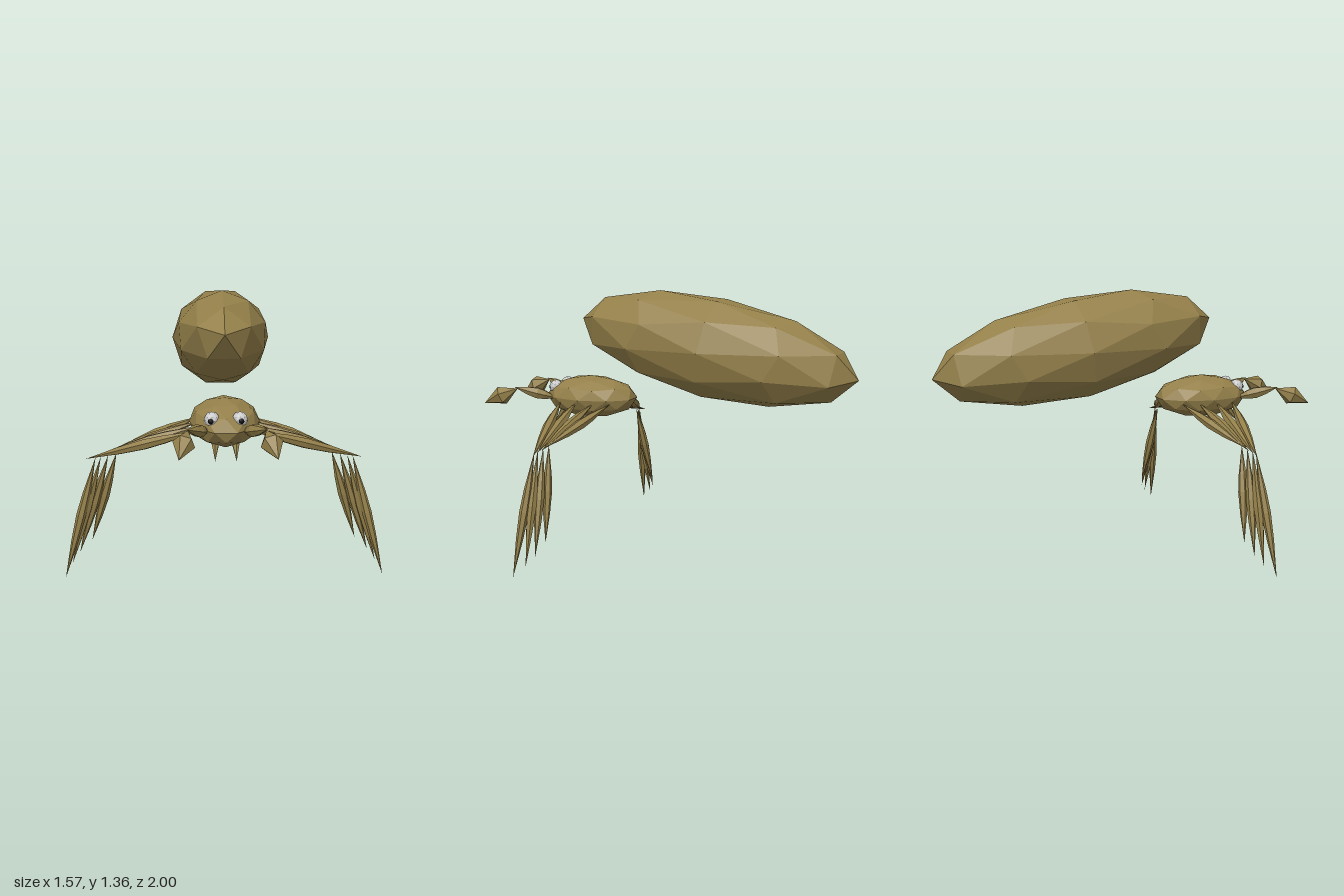
import * as THREE from 'three';

const brown = new THREE.MeshStandardMaterial({ color: 0x94804a, flatShading: true });
const grey = new THREE.MeshStandardMaterial({ color: 0xcccccc, flatShading: true });
const black = new THREE.MeshStandardMaterial({ color: 0x111111, flatShading: true });

// Faceted ball with its poles on the y axis
const ball = new THREE.IcosahedronGeometry(1, 1);
ball.rotateX(-Math.atan(2 / (1 + Math.sqrt(5))) - Math.PI / 2);

// Six-sided spindle running from y = 0 to y = 1, pointed at both ends
const spindle = new THREE.LatheGeometry(
  [[0, 0], [0.8, 0.3], [1, 0.48], [0.72, 0.7], [0, 1]].map(([r, y]) => new THREE.Vector2(r, y)), 6);

// Square-shouldered bipyramid for the palp tips
const diamond = new THREE.LatheGeometry(
  [[0, 0], [1, 0.47], [0, 1]].map(([r, y]) => new THREE.Vector2(r, y)), 6);

// Cone standing on y = 0 with its point at y = 1
const cone = new THREE.ConeGeometry(1, 1, 6).translate(0, 0.5, 0);

function addBall(parent, name, material, position, scale) {
  const mesh = new THREE.Mesh(ball, material);
  mesh.name = name;
  mesh.position.set(...position);
  mesh.scale.set(...scale);
  parent.add(mesh);
  return mesh;
}

// Stretch a unit-height geometry between two points
function addBetween(parent, name, geometry, from, to, radius) {
  const a = new THREE.Vector3(...from);
  const dir = new THREE.Vector3(...to).sub(a);
  const length = dir.length();
  const mesh = new THREE.Mesh(geometry, brown);
  mesh.name = name;
  mesh.position.copy(a);
  mesh.quaternion.setFromUnitVectors(new THREE.Vector3(0, 1, 0), dir.normalize());
  mesh.scale.set(radius, length, radius);
  parent.add(mesh);
}

// Legs from rear to front: hip, end of upper segment, knee, foot
const legs = [
  { hip: [0.12, 0.765, 0.29], end: [0.56, 0.615, 0.425], knee: [0.525, 0.62, 0.43], foot: [0.66, 0.155, 0.385] },
  { hip: [0.12, 0.765, 0.385], end: [0.6, 0.605, 0.43], knee: [0.565, 0.61, 0.44], foot: [0.72, 0.1, 0.41] },
  { hip: [0.12, 0.765, 0.485], end: [0.635, 0.6, 0.435], knee: [0.6, 0.605, 0.45], foot: [0.755, 0.055, 0.445] },
  { hip: [0.12, 0.765, 0.58], end: [0.675, 0.59, 0.435], knee: [0.625, 0.605, 0.455], foot: [0.785, 0.0, 0.5] },
];

export function createModel() {
  const model = new THREE.Group();
  model.name = 'spider';

  // Long abdomen, nose tilted up
  const abdomen = addBall(model, 'abdomen', brown, [0, 1.078, -0.25], [0.26, 0.76, 0.26]);
  abdomen.rotation.x = Math.PI / 2 - Math.atan2(0.125, 0.75);

  addBall(model, 'head', brown, [0, 0.782, 0.455], [0.17, 0.113, 0.26]);

  for (const side of [1, -1]) {
    const at = ([x, y, z]) => [side * x, y, z];
    const half = new THREE.Group();
    half.name = side > 0 ? 'leftSide' : 'rightSide';
    model.add(half);

    // Eye with pupil
    addBall(half, 'eye', grey, at([0.065, 0.832, 0.637]), [0.037, 0.037, 0.037]);
    addBall(half, 'pupil', black, at([0.07, 0.83, 0.664]), [0.015, 0.015, 0.013]);

    // Fang
    addBetween(half, 'fang', cone, at([0.048, 0.715, 0.595]), at([0.05, 0.635, 0.655]), 0.022);

    // Two-part feeler
    addBetween(half, 'palpBase', spindle, at([0.08, 0.77, 0.62]), at([0.18, 0.832, 0.83]), 0.032);
    addBetween(half, 'palpTip', diamond, at([0.175, 0.825, 0.815]), at([0.215, 0.74, 1]), 0.052);

    for (const { hip, end, knee, foot } of legs) {
      const leg = new THREE.Group();
      leg.name = 'leg';
      addBetween(leg, 'upperLeg', spindle, at(hip), at(end), 0.027);
      addBetween(leg, 'lowerLeg', spindle, at(knee), at(foot), 0.024);
      half.add(leg);
    }
  }
  return model;
}
